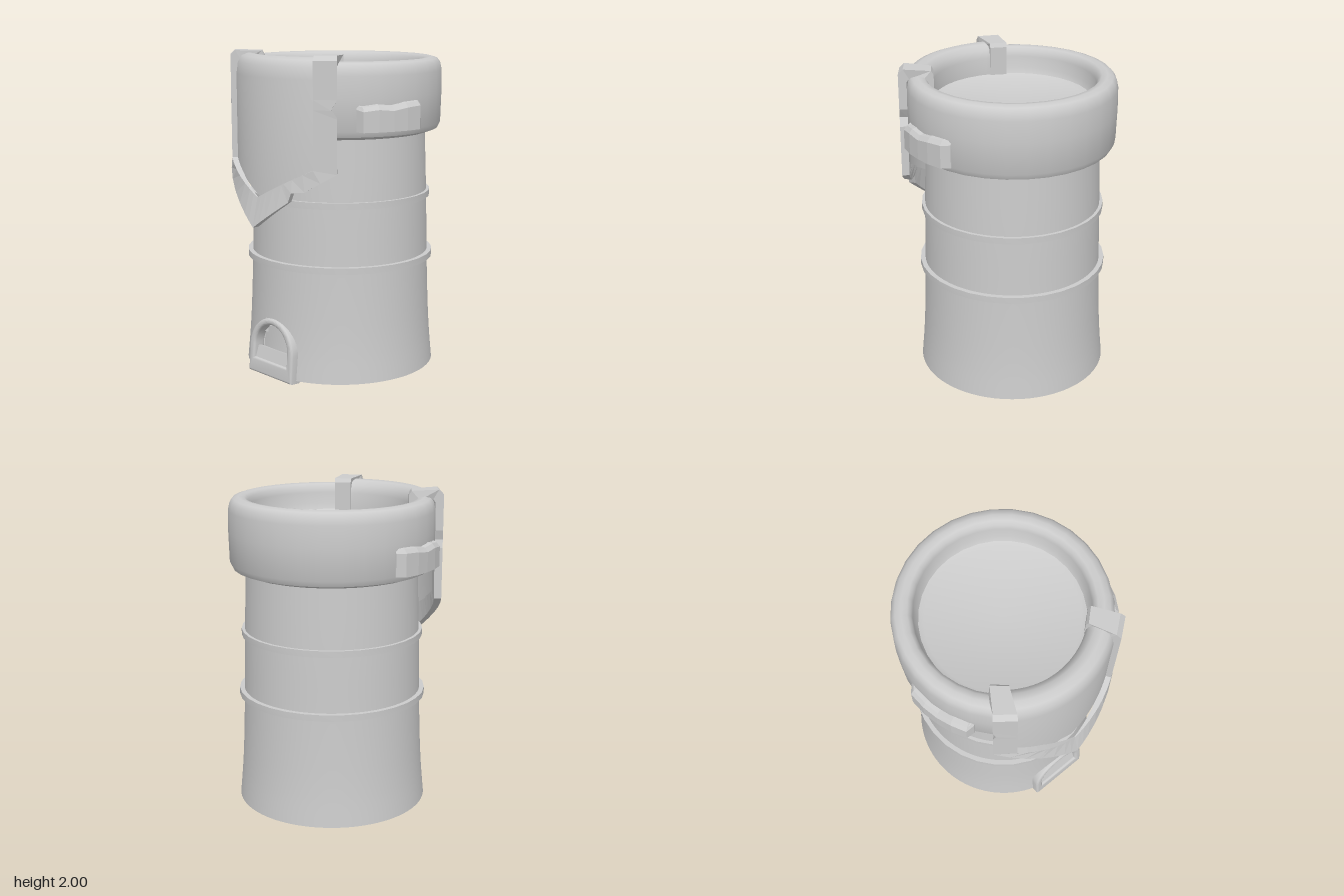
import * as THREE from 'three';
import { toCreasedNormals } from 'three/addons/utils/BufferGeometryUtils.js';

const AXIS_Z = -0.042; // the tower stands slightly behind the origin
const material = new THREE.MeshStandardMaterial({ color: 0xcccccc, side: THREE.DoubleSide });

function part(name, geometry) {
  const mesh = new THREE.Mesh(geometry, material);
  mesh.name = name;
  return mesh;
}

function lathe(points, segments) {
  const geo = new THREE.LatheGeometry(points.map(([r, y]) => new THREE.Vector2(r, y)), segments, Math.PI);
  return geo;
}

// Join cross-sections of polar points [angle, radius, y]; closed sections also get end caps.
function skin(sections, closed) {
  const n = sections[0].length, pos = [], index = [];
  for (const s of sections) for (const [a, r, y] of s) pos.push(r * Math.sin(a), y, r * Math.cos(a));
  for (let i = 0; i < sections.length - 1; i++) {
    for (let j = 0; j < (closed ? n : n - 1); j++) {
      const k = (j + 1) % n, a = i * n + j, b = i * n + k;
      index.push(a, a + n, b, b, a + n, b + n);
    }
  }
  if (closed) {
    const e = (sections.length - 1) * n;
    for (let j = 1; j < n - 1; j++) index.push(0, j, j + 1, e, e + j + 1, e + j);
  }
  const geo = new THREE.BufferGeometry();
  geo.setAttribute('position', new THREE.Float32BufferAttribute(pos, 3));
  geo.setIndex(index);
  return geo;
}

function flat(geo) {
  const g = geo.toNonIndexed();
  g.computeVertexNormals();
  return g;
}

// Arched doorway outline, w = half width
function arch(Type, w, bottom, spring) {
  const s = new Type();
  s.moveTo(-w, bottom);
  s.lineTo(w, bottom);
  s.lineTo(w, spring);
  s.absarc(0, spring, w, 0, Math.PI, false);
  s.closePath();
  return s;
}

// Flared wall, open below, pushed inwards behind the doorway
function wallGeometry() {
  const curve = new THREE.SplineCurve([[0.6, 0.015], [0.583, 0.2], [0.571, 0.4], [0.56, 0.7], [0.55, 1.1], [0.535, 1.51]]
    .map(([r, y]) => new THREE.Vector2(r, y)));
  const geo = lathe(curve.getPoints(60).map((p) => [p.x, p.y]), 96);
  const p = geo.attributes.position;
  for (let i = 0; i < p.count; i++) {
    const x = p.getX(i), y = p.getY(i), z = p.getZ(i);
    const inside = Math.abs(x) < 0.17 && y > 0.06 && (y < 0.18 || Math.hypot(x, y - 0.18) < 0.17);
    if (z > 0 && inside) p.setZ(i, z - 0.05);
  }
  return toCreasedNormals(geo, 0.6);
}

// Raised border: hooks over the rim, runs down the sides and meets in a point
function borderGeometry() {
  const OUT = 0.775, IN = 0.573;
  const half = (side) => {
    const list = [];
    const add = (ao, ai, front, back, yo = null, yi = null) => list.push([
      [side * ao, front[0], yo ?? front[1]], [side * ai, front[2] ?? front[0], yi ?? front[1]],
      [side * ai, back[0], yi ?? back[1]], [side * ao, back[0], yo ?? back[1]],
    ]);
    add(0.84, 0.62, [0.475, 1.79], [0.53, 1.79]);
    add(0.84, 0.62, [0.475, 1.97], [0.53, 1.93]);
    add(0.84, 0.62, [0.49, 1.995], [0.54, 1.94]);
    add(OUT, IN, [0.655, 2.0], [0.62, 1.94]);
    add(OUT, IN, [0.685, 1.97], [0.635, 1.92]);
    // chipped outer edge
    const chip = side > 0 ? 0.05 : 0.025;
    add(OUT, IN, [0.685, 1.75], [0.635, 1.75]);
    add(OUT - chip, IN, [0.685, 1.69], [0.635, 1.69]);
    add(OUT, IN, [0.685, 1.64], [0.635, 1.64]);
    // diagonal down to the tip
    for (const t of [0, 0.15, 0.31, 0.46, 0.5, 0.65, 0.8, 0.9, 1]) {
      const r = 0.685 + 0.04 * t ** 1.5;
      const notch = side > 0 && t === 0.46 ? 0.045 : 0;
      add(Math.asin((0.48 * (1 - t)) / r), Math.asin((0.37 * (1 - t)) / 0.685), [r, 0, 0.685], [r - 0.045, 0],
        1.32 - 0.35 * t + notch, 1.34 - 0.19 * t);
    }
    return list;
  };
  return flat(skin([...half(1), ...half(-1).reverse().slice(1)], true));
}

// Curved panel inside the border, wrapped over the rim
function panelGeometry() {
  const rim = [[0.48, 1.78], [0.48, 1.9], [0.495, 1.95], [0.53, 1.98], [0.575, 1.985], [0.615, 1.97], [0.64, 1.93], [0.65, 1.86]];
  const columns = [];
  for (let i = 0; i <= 24; i++) {
    const a = -0.62 + (1.24 * i) / 24;
    const bottom = 1.34 - 0.2 * (1 - Math.min(1, Math.abs(a) / 0.573));
    columns.push([...rim, [0.65, bottom]].map(([r, y]) => [a, r, y]));
  }
  return toCreasedNormals(skin(columns, false), 0.7);
}

// Curved side block with bevelled ends
function lugGeometry(side) {
  const stations = [[0.95, 0.64, 1.71], [1.0, 0.683, 1.7], [1.14, 0.683, 1.71], [1.28, 0.68, 1.7],
    [1.42, 0.68, 1.715], [1.57, 0.677, 1.72], [1.64, 0.64, 1.72]];
  return flat(skin(stations.map(([a, r, top]) => [
    [side * a, 0.6, 1.555], [side * a, r, 1.56], [side * a, r, top - 0.02], [side * a, r - 0.02, top + 0.005], [side * a, 0.6, top + 0.015],
  ]), true));
}

export function createModel() {
  const model = new THREE.Group();
  model.name = 'tower';
  const round = new THREE.Group();
  round.name = 'towerBody';
  round.position.z = AXIS_Z;
  model.add(round);

  round.add(part('wall', wallGeometry()));

  // Thick rim with a sunken floor
  const rim = [[0.53, 1.5], [0.56, 1.505], [0.615, 1.525], [0.632, 1.56], [0.637, 1.75], [0.635, 1.88], [0.625, 1.925], [0.605, 1.95],
    [0.57, 1.96], [0.535, 1.955], [0.515, 1.935], [0.507, 1.9], [0.5, 1.83], [0.485, 1.795], [0.455, 1.78], [0, 1.775]];
  round.add(part('rimAndFloor', toCreasedNormals(lathe(rim, 32), 0.7)));

  // Two thin hoops
  for (const [y, r] of [[0.72, 0.59], [1.11, 0.57]]) {
    const hoop = [[r - 0.04, y - 0.02], [r, y - 0.02], [r, y + 0.02], [r - 0.04, y + 0.02]];
    round.add(part('hoop', toCreasedNormals(lathe(hoop, 32), 0.7)));
  }

  // Shield-shaped front plate
  const plate = new THREE.Group();
  plate.name = 'frontPlate';
  plate.add(part('plateBorder', borderGeometry()), part('platePanel', panelGeometry()));
  round.add(plate);

  for (const side of [1, -1]) round.add(part(side > 0 ? 'leftLug' : 'rightLug', lugGeometry(side)));

  // Arched doorway with a sloping sill
  const door = new THREE.Group();
  door.name = 'doorway';
  const outline = arch(THREE.Shape, 0.185, 0.015, 0.17);
  outline.holes.push(arch(THREE.Path, 0.165, 0.08, 0.18));
  const frame = new THREE.ExtrudeGeometry(outline, {
    depth: 0.055, bevelEnabled: true, bevelSize: 0.015, bevelThickness: 0.015, bevelSegments: 3, curveSegments: 16,
  });
  frame.translate(0, 0, -0.07);
  door.add(part('doorFrame', toCreasedNormals(frame, 0.7)));
  const sill = part('doorSill', new THREE.BoxGeometry(0.3, 0.08, 0.04));
  sill.position.set(0, 0.125, -0.045);
  sill.rotation.x = -0.25;
  door.add(sill);
  door.position.z = 0.572;
  door.rotation.x = -0.07;
  model.add(door);

  return model;
}
